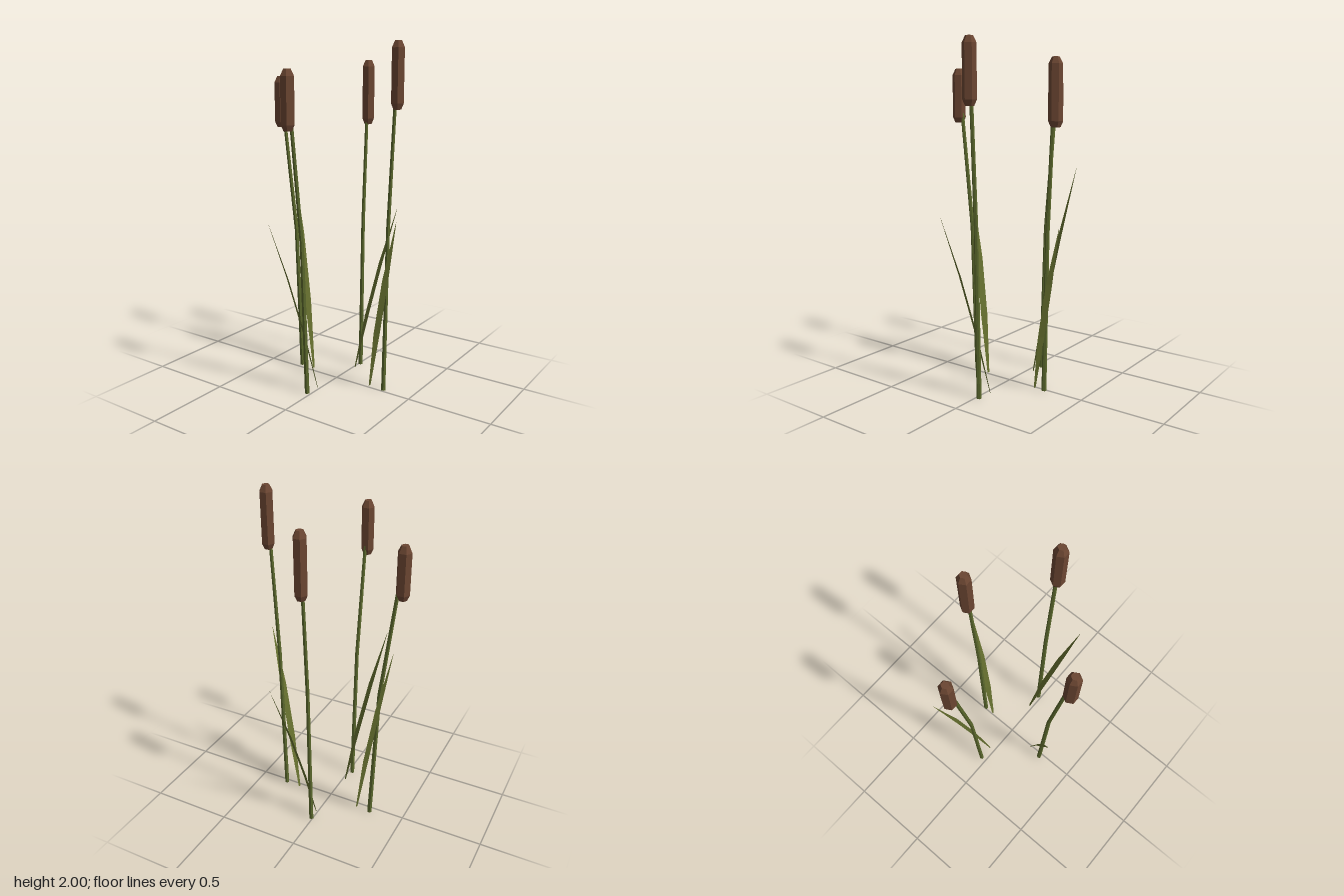
import * as THREE from 'three';

const stemGreen = new THREE.MeshStandardMaterial({ color: 0x5a672c, flatShading: true });
stemGreen.name = 'stem green';
const leafGreen = new THREE.MeshStandardMaterial({ color: 0x66702f, flatShading: true, side: THREE.DoubleSide });
leafGreen.name = 'leaf green';
const headBrown = new THREE.MeshStandardMaterial({ color: 0x6b4632, flatShading: true });
headBrown.name = 'seed head brown';

// Six-sided tapering stem, bent by a quadratic lean from base to head
function makeStem([x0, z0], [x1, z1], height) {
  const h = height - 0.04;
  const geo = new THREE.CylinderGeometry(0.01, 0.0145, h, 6, 2);
  geo.rotateY(Math.PI / 6);
  geo.translate(0, h / 2, 0);
  const p = geo.attributes.position;
  for (let i = 0; i < p.count; i++) {
    const t = p.getY(i) / h;
    p.setX(i, p.getX(i) + x0 + (x1 - x0) * t * t);
    p.setZ(i, p.getZ(i) + z0 + (z1 - z0) * t * t);
  }
  return new THREE.Mesh(geo, stemGreen);
}

// Six-sided seed head with chamfered, flat ends
function makeHead([x, z], bottom, top) {
  const profile = [
    [0, bottom], [0.024, bottom], [0.039, bottom + 0.033],
    [0.039, top - 0.037], [0.021, top], [0, top],
  ].map(([r, y]) => new THREE.Vector2(r, y));
  const geo = new THREE.LatheGeometry(profile, 6);
  geo.rotateY(Math.PI / 6);
  const head = new THREE.Mesh(geo, headBrown);
  head.position.set(x, 0, z);
  return head;
}

// Flat blade leaf: cross rows from base to a pointed tip
function makeLeaf([x0, z0], [x1, z1], height) {
  const rows = [[0, 0, 0.006], [1 / 3, 0.28, 0.0205], [2 / 3, 0.61, 0.0195], [1, 1, 0.0008]];
  const dx = x1 - x0, dz = z1 - z0, len = Math.hypot(dx, dz);
  const positions = [], index = [];
  rows.forEach(([t, lean, w], i) => {
    for (const s of [-1, 1]) {
      positions.push(x0 + dx * lean - (dz / len) * w * s, height * t, z0 + dz * lean + (dx / len) * w * s);
    }
    if (i > 0) {
      const a = (i - 1) * 2;
      index.push(a, a + 1, a + 3, a, a + 3, a + 2);
    }
  });
  const geo = new THREE.BufferGeometry();
  geo.setAttribute('position', new THREE.Float32BufferAttribute(positions, 3));
  geo.setIndex(index);
  geo.computeVertexNormals();
  return new THREE.Mesh(geo, leafGreen);
}

export function createModel() {
  const model = new THREE.Group();
  model.name = 'reeds';

  // Base and head positions are [x, z]
  const reeds = [
    { name: 'left', base: [0.32, -0.02], head: [0.38, -0.02], y: [1.64, 2.0], leaf: [[0.223, -0.024], [0.469, 0.124], 1.06] },
    { name: 'right', base: [-0.29, -0.037], head: [-0.435, -0.039], y: [1.505, 1.805], leaf: [[-0.2, -0.035], [-0.453, -0.175], 1.26] },
    { name: 'front', base: [-0.024, 0.268], head: [-0.032, 0.402], y: [1.535, 1.855], leaf: [[-0.016, 0.176], [-0.178, 0.413], 1.04] },
    { name: 'back', base: [0.01, -0.255], head: [0.012, -0.315], y: [1.525, 1.9], leaf: [[0.01, -0.19], [0.153, -0.437], 1.0] },
  ];

  for (const { name, base, head, y, leaf } of reeds) {
    const reed = new THREE.Group();
    reed.name = name + 'Reed';
    const parts = {
      Stem: makeStem(base, head, y[1]),
      SeedHead: makeHead(head, y[0], y[1]),
      Leaf: makeLeaf(...leaf),
    };
    for (const [part, mesh] of Object.entries(parts)) {
      mesh.name = name + part;
      reed.add(mesh);
    }
    model.add(reed);
  }
  return model;
}
